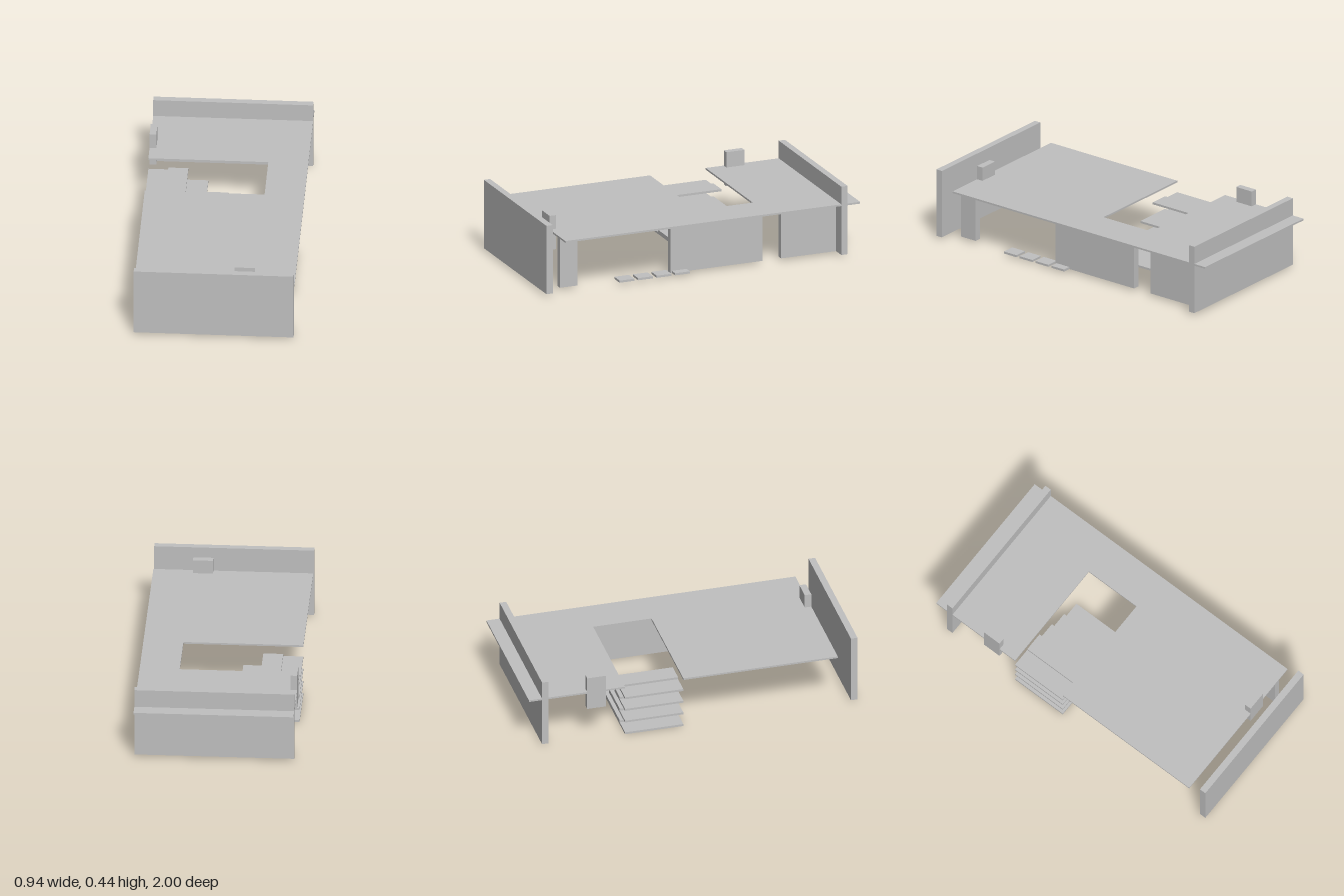
import * as THREE from 'three';

export function createModel() {
  const model = new THREE.Group();
  const plaster = new THREE.MeshStandardMaterial({ color: 0xc0c0c0 });
  plaster.name = 'plaster grey';

  // Box given by its extents on each axis
  function box(name, [x0, x1], [y0, y1], [z0, z1], parent = model) {
    const mesh = new THREE.Mesh(new THREE.BoxGeometry(x1 - x0, y1 - y0, z1 - z0), plaster);
    mesh.position.set((x0 + x1) / 2, (y0 + y1) / 2, (z0 + z1) / 2);
    mesh.name = name;
    parent.add(mesh);
    return mesh;
  }

  const W = 0.47;
  const floor = 0.013;
  const under = 0.315;

  // Floor slab with a stair opening cut in from the -x edge
  const outline = new THREE.Shape([
    [-W, -0.88], [W, -0.88], [W, 1], [-W, 1],
    [-W, 0.415], [0.235, 0.415], [0.235, 0.06], [-W, 0.06],
  ].map(([x, y]) => new THREE.Vector2(x, y)));
  const slab = new THREE.Mesh(
    new THREE.ExtrudeGeometry(outline, { depth: 0.011, bevelEnabled: false }), plaster);
  slab.rotation.x = -Math.PI / 2;
  slab.position.y = under;
  slab.name = 'slab';
  model.add(slab);

  // Long end walls
  box('frontWall', [-W, W], [floor, 0.435], [0.96, 1]);
  box('backWall', [-W, W], [floor, 0.435], [-0.92, -0.88]);

  // Row of bearing walls beneath the slab
  for (const z of [[0.77, 0.88], [-0.41, 0.175], [-0.88, -0.53]]) {
    box('sideWall', [0.35, 0.39], [floor, under], z);
  }

  // Short blocks straddling the slab edge
  box('frontBlock', [0.117, 0.235], [0.2, 0.41], [0.84, 0.88]);
  box('sideBlock', [-W, -0.43], [0.21, 0.42], [-0.645, -0.53]);

  // Stair of paired, progressively shorter treads
  const stair = new THREE.Group();
  stair.name = 'stair';
  model.add(stair);
  const run = 0.1175;
  const rise = 0.08;
  for (let i = 0; i < 4; i++) {
    const y = i * rise;
    const length = (4 - i) * run;
    box('lowerTread', [-W, -W + length], [y, y + 0.013], [-0.415, -0.06], stair);
    box('upperTread', [-W + run, -W + run + length], [y + 0.013, y + 0.026], [-0.415, -0.06], stair);
  }

  // Stepping slabs beside the wall
  for (let i = 0; i < 4; i++) {
    const z = 0.073 + i * 0.118;
    box('steppingSlab', [0.36, 0.44], [floor, 0.026], [z, z + 0.094]);
  }

  return model;
}
